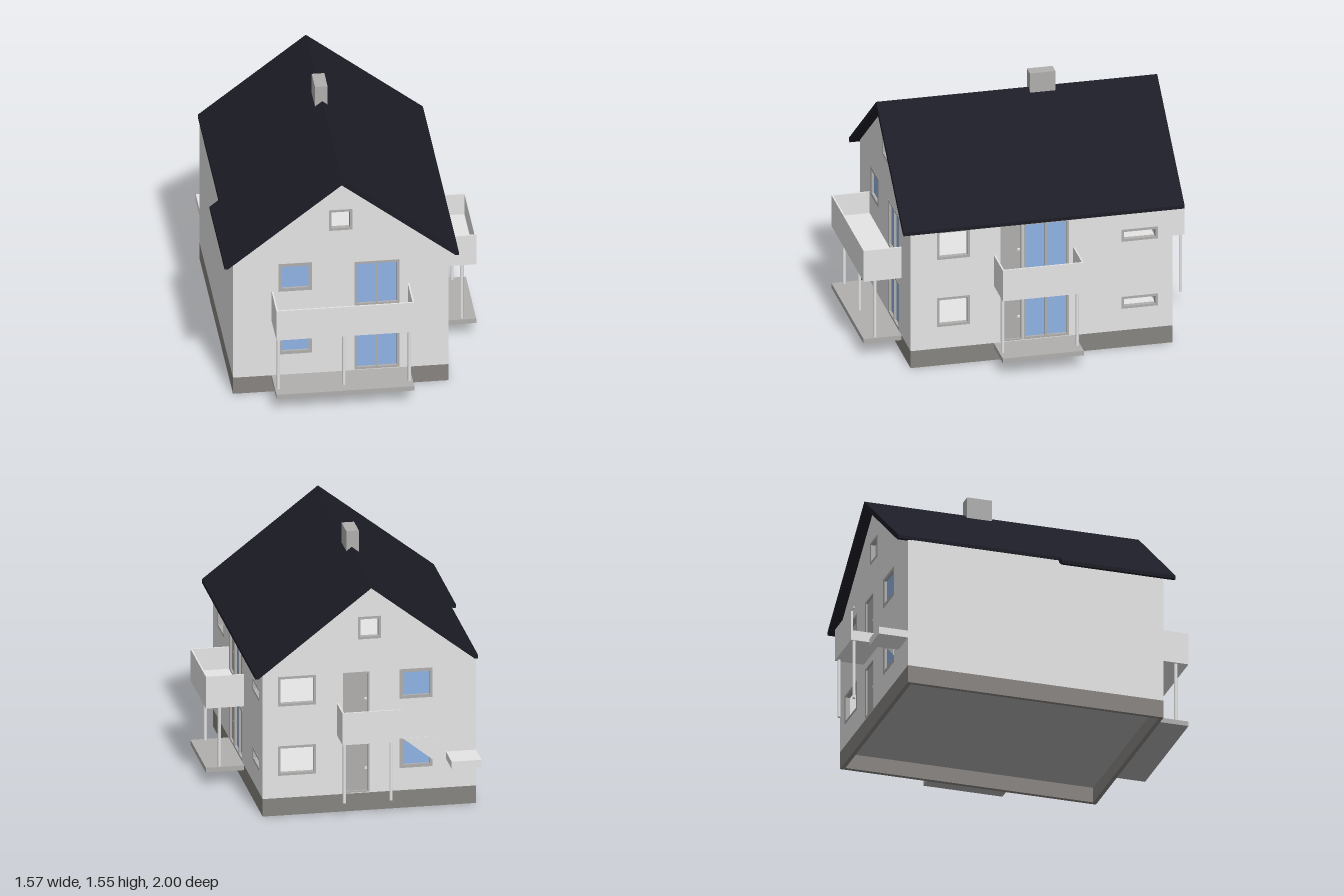
import * as THREE from 'three';

const mat = (name, color) => {
  const m = new THREE.MeshStandardMaterial({ color });
  m.name = name;
  return m;
};

export function createModel() {
  const wall = mat('light render', 0xe5e5e5);
  const plinthMat = mat('plinth grey', 0x878480);
  const roofMat = mat('dark roof', 0x1c1c26);
  const trim = mat('frame grey', 0xb0afae);
  const glass = mat('blue glass', 0x8fb3e4);

  const house = new THREE.Group();
  house.name = 'house';
  const X0 = -0.73, X1 = 0.551, Z0 = -0.82, Z1 = 0.77, RIDGE = -0.09, T = 0.025;

  const add = (parent, name, geo, material) => {
    const m = new THREE.Mesh(geo, material);
    m.name = name;
    parent.add(m);
    return m;
  };
  // box given by its minimum and maximum corners
  const box = (parent, name, material, a, b) => {
    const m = add(parent, name, new THREE.BoxGeometry(b[0] - a[0], b[1] - a[1], b[2] - a[2]), material);
    m.position.set((a[0] + b[0]) / 2, (a[1] + b[1]) / 2, (a[2] + b[2]) / 2);
  };
  const poly = (pts) => new THREE.Shape(pts.map((p) => new THREE.Vector2(...p)));
  const rect = (u0, u1, v0, v1) => poly([[u0, v0], [u1, v0], [u1, v1], [u0, v1]]);
  const extrude = (shape, z0, z1) =>
    new THREE.ExtrudeGeometry(shape, { depth: z1 - z0, bevelEnabled: false }).translate(0, 0, z0);

  // rectangular frame with optional glass, mullion or door leaf
  const frameWidth = { door: 0.01, single: 0.02, double: 0.014, open: 0.015 };
  function opening(side, [u0, u1, v0, v1, kind]) {
    const f = frameWidth[kind];
    const frame = rect(u0, u1, v0, v1);
    frame.holes.push(rect(u0 + f, u1 - f, v0 + f, v1 - f));
    add(side, 'windowFrame', extrude(frame, -T - 0.002, 0.002), trim);
    if (kind === 'open') return;
    const isDoor = kind === 'door', depth = isDoor ? -0.01 : -0.014;
    box(side, isDoor ? 'doorLeaf' : 'windowPane', isDoor ? trim : glass,
      [u0 + f, v0 + f, depth - 0.008], [u1 - f, v1 - f, depth]);
    const mid = (u0 + u1) / 2;
    if (kind === 'double') {
      box(side, 'mullion', trim, [mid - 0.007, v0 + f, -T], [mid + 0.007, v1 - f, 0]);
    }
    if (isDoor) {
      const v = v0 + (v1 - v0) * 0.45;
      box(side, 'doorHandle', wall, [u1 - 0.03, v, depth], [u1 - 0.015, v + 0.012, 0.002]);
    }
  }

  // facade in its own plane: u across, v up, outward is local +z
  function facade(name, outline, openings, position, turn) {
    const side = new THREE.Group();
    side.name = name;
    const shape = poly(outline);
    openings.forEach(([a, b, c, d]) => shape.holes.push(rect(a, b, c, d)));
    add(side, 'wall', extrude(shape, -T, 0), wall);
    openings.forEach((o) => opening(side, o));
    side.position.set(...position);
    side.rotation.y = turn;
    house.add(side);
    return side;
  }

  const gable = (s) => {
    const pts = [[X0, 0.11], [X1, 0.11], [X1, 0.925], [RIDGE, 1.425], [X0, 0.925]];
    return s > 0 ? pts : pts.map(([x, y]) => [-x, y]).reverse();
  };

  const front = facade('frontFacade', gable(1), [
    [-0.46, -0.26, 0.25, 0.435, 'single'], [-0.46, -0.26, 0.68, 0.868, 'single'],
    [-0.008, 0.26, 0.115, 0.418, 'double'], [-0.008, 0.26, 0.55, 0.85, 'double'],
    [-0.16, -0.02, 1.075, 1.215, 'open'],
  ], [0, 0, Z1], 0);

  const back = facade('backFacade', gable(-1), [
    [-0.46, -0.23, 0.25, 0.435, 'open'], [-0.46, -0.23, 0.685, 0.87, 'open'],
    [-0.07, 0.09, 0.115, 0.435, 'door'], [-0.07, 0.09, 0.55, 0.87, 'door'],
    [0.27, 0.47, 0.25, 0.435, 'single'], [0.27, 0.47, 0.685, 0.87, 'single'],
    [0.02, 0.16, 1.075, 1.215, 'open'],
  ], [0, 0, Z0], Math.PI);
  // slanted cover over the lower back window
  add(back, 'slantedCover', extrude(poly([[0.29, 0.437], [0.472, 0.29], [0.472, 0.437]]), 0.002, 0.005), wall);

  const rightOpenings = [];
  [[0, 0.115], [0.435, 0.55]].forEach(([dy, base]) => rightOpenings.push(
    [-0.61, -0.41, 0.25 + dy, 0.437 + dy, 'open'],
    [-0.225, -0.09, base, 0.435 + dy, 'door'],
    [-0.085, 0.19, base, 0.435 + dy, 'double'],
    [0.51, 0.73, 0.25 + dy, 0.327 + dy, 'open']));
  const right = facade('rightFacade',
    [[-Z1 + T, 0.11], [-Z0 - T, 0.11], [-Z0 - T, 0.925], [-Z1 + T, 0.925]],
    rightOpenings, [X1, 0, 0], Math.PI / 2);
  box(house, 'leftWall', wall, [X0, 0.11, Z0 + T], [X0 + T, 0.932, Z1 - T]);

  // hollow plinth, floors and inner partitions
  const ring = rect(X0, X1, -Z1, -Z0);
  ring.holes.push(rect(X0 + T, X1 - T, -Z1 + T, -Z0 - T));
  add(house, 'plinth', extrude(ring, 0, 0.11).rotateX(-Math.PI / 2), plinthMat);
  box(house, 'groundSlab', trim, [X0 + T, 0.095, Z0 + T], [X1 - T, 0.105, Z1 - T]);
  [['groundFloor', 0.105, 0.115], ['upperFloor', 0.485, 0.545], ['atticFloor', 0.89, 0.91]].forEach(([name, y0, y1]) =>
    box(house, name, wall, [X0 + T, y0, Z0 + T], [X1 - T, y1, Z1 - T]));
  [[0.115, 0.485], [0.545, 0.89]].forEach(([y0, y1]) =>
    box(house, 'partition', wall, [0.1, y0, Z0 + T], [0.12, y1, -0.58]));

  // roof slopes; the left eave is cut shorter towards the back
  const slope = (name, x, z0, z1) => {
    const s = Math.sign(x - RIDGE), run = Math.abs(x - RIDGE), k = 0.778;
    const pts = [[RIDGE, 1.45], [RIDGE, 1.413], [x - s * 0.02, 1.413 - (run - 0.02) * k],
      [x, 1.413 - (run - 0.02) * k], [x, 1.45 - run * k]];
    add(house, name, extrude(poly(pts), z0, z1), roofMat);
  };
  slope('rightRoof', 0.607, -0.88, 0.825);
  slope('leftRoofFront', -0.787, 0.12, 0.825);
  slope('leftRoofBack', -0.732, -0.88, 0.12);
  // light lining under the slopes inside the attic
  const lining = poly([[X0 + T, 0.93], [RIDGE, 1.408], [X1 - T, 0.93], [X1 - T, 0.915], [RIDGE, 1.393], [X0 + T, 0.915]]);
  add(house, 'roofLining', extrude(lining, Z0 + T, Z1 - T), wall);

  box(house, 'chimney', trim, [-0.133, 0.91, -0.255], [-0.058, 1.55, -0.1]);

  // balcony on a facade: slab, parapets, posts and optional terrace below
  function balcony(side, u0, u1, depth, posts, postDepth, terrace, openEnd) {
    const g = new THREE.Group(), t = 0.01, foot = 0.11;
    g.name = 'balcony';
    box(g, 'balconySlab', wall, [u0, 0.482, 0], [u1, 0.545, depth]);
    box(g, 'frontParapet', wall, [u0, 0.545, depth - t], [u1, 0.682, depth]);
    box(g, 'sideParapet', wall, [u0, 0.545, 0], [u0 + t, 0.682, depth - t]);
    if (openEnd) box(g, 'railEnd', wall, [u1, 0.67, depth - 0.006], [u1 + 0.045, 0.682, depth]);
    else box(g, 'sideParapet', wall, [u1 - t, 0.545, 0], [u1, 0.682, depth - t]);
    posts.forEach((u) => add(g, 'balconyPost', new THREE.CylinderGeometry(0.01, 0.01, 0.482 - foot, 12), wall)
      .position.set(u, (0.482 + foot) / 2, postDepth));
    if (terrace) box(g, 'terrace', trim, [u0, 0.08, 0], [u1, foot, depth]);
    side.add(g);
  }
  balcony(front, -0.5, 0.32, 0.23, [-0.48, -0.09, 0.3], 0.157, true, false);
  balcony(right, -0.265, 0.227, 0.23, [-0.245, 0.207], 0.145, true, false);
  balcony(back, -0.105, 0.205, 0.18, [-0.09, 0.19], 0.158, false, true);

  // small ledge at the back corner
  box(house, 'backLedge', wall, [X0, 0.29, -1], [-0.55, 0.335, Z0]);
  return house;
}
